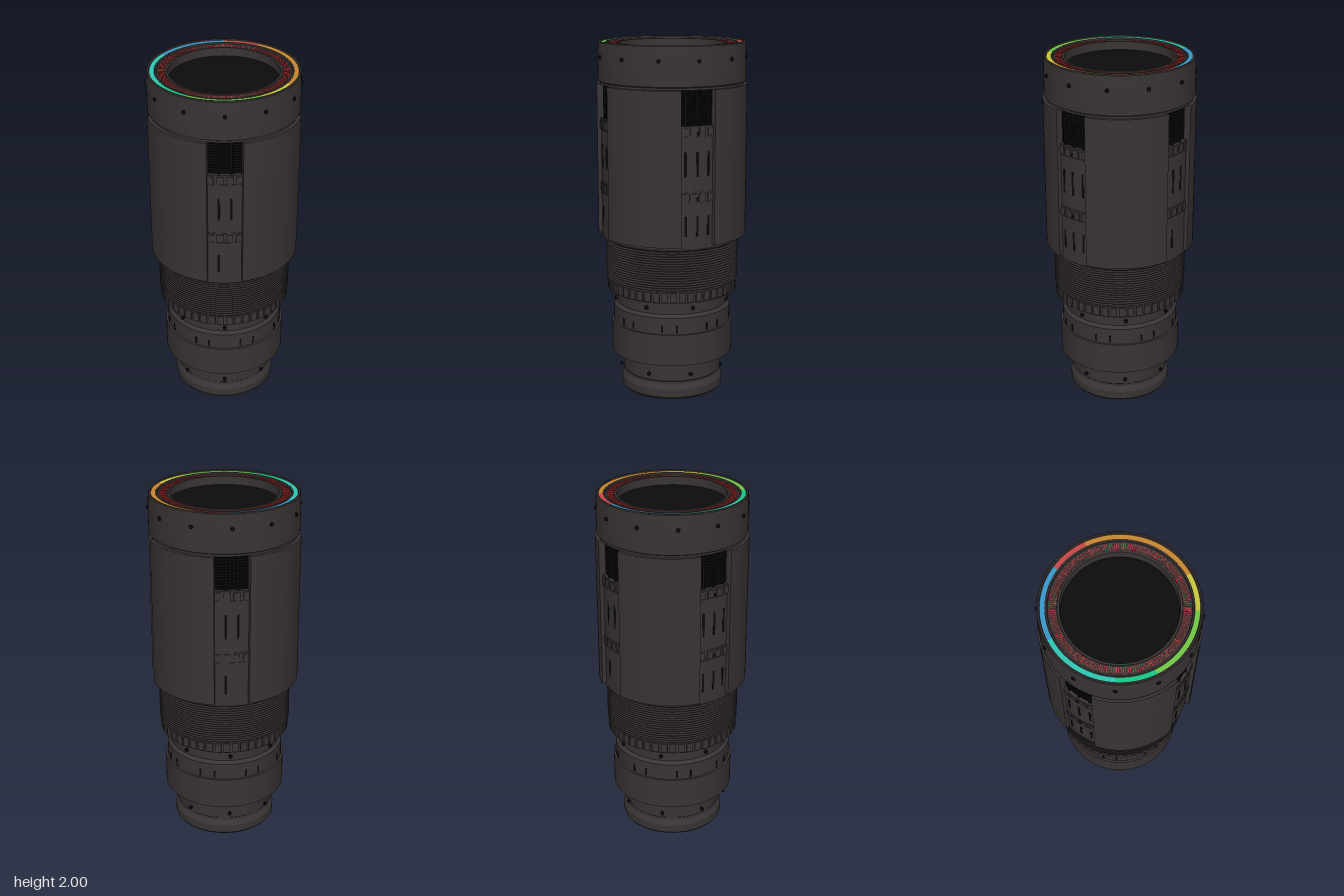
import * as THREE from 'three';
import { mergeGeometries, toCreasedNormals } from 'three/addons/utils/BufferGeometryUtils.js';

const mat = (name, color) => {
  const m = new THREE.MeshStandardMaterial({ color });
  m.name = name;
  return m;
};

export function createModel() {
  const root = new THREE.Group();
  root.name = 'lensBarrel';
  const body = mat('barrelBrown', 0x3a3434);
  const black = mat('black', 0x0c0c0c);
  const tickRed = mat('tickRed', 0xd83a3a);
  const DEG = Math.PI / 180;

  const add = (name, geo, material) => {
    const mesh = new THREE.Mesh(geo, material);
    mesh.name = name;
    root.add(mesh);
    return mesh;
  };
  // Turned part from [radius, height] pairs, listed from bottom to top
  const turn = (name, pts, material = body) =>
    add(name, toCreasedNormals(new THREE.LatheGeometry(pts.map(p => new THREE.Vector2(...p)), 96), 0.4), material);
  // Copies of a part around the axis; angle 0 faces front, 90 faces +x
  const around = (name, geo, r, y, angles, material) => {
    const copies = angles.map(a => geo.clone().translate(0, y, r).rotateY(a * DEG));
    return add(name, mergeGeometries(copies), material);
  };
  const even = (n, start = 0) => Array.from({ length: n }, (_, i) => start + i * 360 / n);
  const screw = (radius, length) => new THREE.CylinderGeometry(radius, radius, length, 10).rotateX(Math.PI / 2);

  // Base flange and neck
  turn('baseFlange', [[0, 0], [0.285, 0], [0.292, 0.01], [0.292, 0.055], [0.276, 0.085], [0.276, 0.1],
    [0.281, 0.105], [0.281, 0.225]]);
  around('baseScrews', screw(0.011, 0.012), 0.31, 0.15, even(8), black);

  // Stepped lower rings
  turn('lowerRings', [[0.27, 0.22], [0.347, 0.22], [0.347, 0.4], [0.335, 0.4], [0.335, 0.495], [0.318, 0.512],
    [0.318, 0.59]]);
  around('collarScrews', screw(0.011, 0.012), 0.34, 0.55, even(8), black);
  const slotPairs = even(8, 22.5).flatMap(a => [a - 7, a + 7]);
  around('collarSlots', new THREE.BoxGeometry(0.011, 0.042, 0.008), 0.334, 0.43, slotPairs, black);

  // Knurled grip ring
  turn('gripRing', [[0.31, 0.588], [0.362, 0.588], [0.362, 0.658], [0.3, 0.658]]);
  around('gripTeeth', new THREE.BoxGeometry(0.036, 0.054, 0.016), 0.364, 0.623, even(48, 3.75), body);

  // Threaded section
  const thread = [[0.32, 0.658]];
  for (let i = 0; i < 17; i++) {
    const y = 0.66 + i * 0.0138;
    thread.push([0.362, y], [0.377, y + 0.004], [0.377, y + 0.008], [0.362, y + 0.012]);
  }
  turn('thread', [...thread, [0.362, 0.9]]);

  // Inner core seen through the openings
  turn('innerCore', [[0.34, 0.893], [0.39, 0.893], [0.398, 0.905], [0.398, 1.575], [0.36, 1.575]]);
  for (const y of [1.19, 1.545]) {
    turn('coreGroove', [[0.397, y - 0.032], [0.401, y - 0.032], [0.401, y - 0.026], [0.397, y - 0.026]]);
    turn('coreGroove', [[0.397, y + 0.026], [0.401, y + 0.026], [0.401, y + 0.032], [0.397, y + 0.032]]);
    around('coreTeeth', new THREE.BoxGeometry(0.036, 0.044, 0.014), 0.397, y, even(48, 3.75), body);
    around('corePins', screw(0.009, 0.01), 0.402, y - 0.01, [90, 270], black);
  }
  const slots = even(38, 180 / 38);
  around('upperSlots', new THREE.BoxGeometry(0.012, 0.135, 0.006), 0.397, 1.37, slots, black);
  around('lowerSlots', new THREE.BoxGeometry(0.012, 0.11, 0.006), 0.397, 1.03,
    slots.filter((_, i) => i !== 0 && i !== 19), black);

  // Dark ribbed vent
  const vent = [];
  for (let i = 0; i < 13; i++) {
    const y = 1.575 + i * 0.0155;
    vent.push([0.372, y], [0.384, y + 0.003], [0.384, y + 0.009], [0.372, y + 0.012]);
  }
  turn('ventRibs', [...vent, [0.372, 1.785]], black);
  around('ventBars', new THREE.BoxGeometry(0.012, 0.2, 0.014), 0.384, 1.675, slots, black);

  // Four outer shell panels
  const half = 13.2 * DEG;
  const sector = new THREE.Shape();
  sector.absarc(0, 0, 0.42, half, Math.PI / 2 - half, false);
  sector.absarc(0, 0, 0.385, Math.PI / 2 - half, half, true);
  const panel = toCreasedNormals(
    new THREE.ExtrudeGeometry(sector, { depth: 0.848, bevelEnabled: false, curveSegments: 24 })
      .rotateX(-Math.PI / 2), 0.4);
  for (let i = 0; i < 4; i++) {
    const mesh = add('shellPanel', panel, body);
    mesh.position.y = 0.918;
    mesh.rotation.y = i * Math.PI / 2;
  }

  // Front hood with recessed mouth
  turn('hood', [[0.36, 1.766], [0.402, 1.766], [0.402, 1.778], [0.412, 1.784], [0.412, 1.93], [0.409, 1.995],
    [0.405, 2], [0.397, 2], [0.395, 1.99], [0.368, 1.99], [0.366, 1.995], [0.358, 1.995], [0.356, 1.986],
    [0.31, 1.986], [0.308, 1.99], [0.297, 1.99], [0.294, 1.94]]);
  around('hoodScrews', screw(0.011, 0.014), 0.413, 1.918, even(12), black);
  add('frontGlass', new THREE.CircleGeometry(0.298, 96).rotateX(-Math.PI / 2), black).position.y = 1.943;

  // Coloured arcs on the rim: start and end in degrees
  const arcs = [
    ['red', 0xc94747, 60, 90], ['orange', 0xc98730, -30, 60], ['yellow', 0xc9c93c, -60, -30],
    ['lightGreen', 0x72c944, -120, -60], ['green', 0x18c988, -150, -120],
    ['turquoise', 0x30c9b4, -210, -150], ['blue', 0x3898cc, 90, 150],
  ];
  for (const [name, color, from, to] of arcs) {
    const arc = new THREE.RingGeometry(0.369, 0.394, Math.round((to - from) / 3), 1, from * DEG, (to - from) * DEG);
    add(name + 'Arc', arc.rotateX(-Math.PI / 2), mat(name, color)).position.y = 1.993;
  }

  // Scale ticks around the mouth
  around('minorTicks', new THREE.BoxGeometry(0.0028, 0.003, 0.034), 0.331, 1.987,
    even(180).filter((_, i) => i % 15), tickRed);
  around('majorTicks', new THREE.BoxGeometry(0.006, 0.004, 0.036), 0.331, 1.987, even(12), tickRed);

  return root;
}
